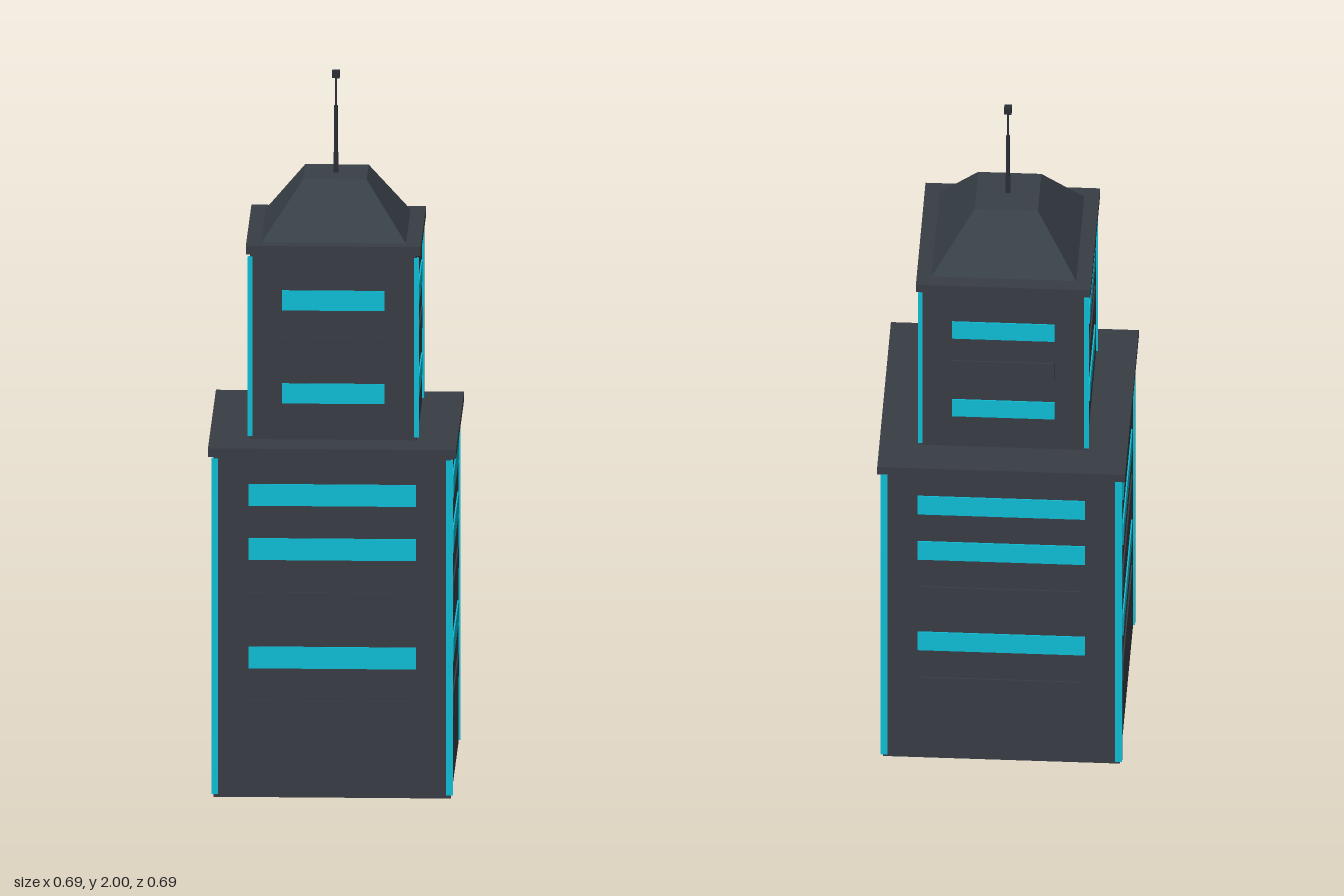
import * as THREE from 'three';

const mat = (name, color) => {
  const m = new THREE.MeshStandardMaterial({ color });
  m.name = name;
  return m;
};

export function createModel() {
  const wall = mat('charcoal wall', 0x383c44);
  const slate = mat('slate roof', 0x384047);
  const glow = mat('cyan light', 0x0fbcd4);
  const metal = mat('dark metal', 0x2a2d34);
  const model = new THREE.Group();
  model.name = 'tower';

  function box(parent, name, material, w, y0, y1, d = w, x = 0, z = 0) {
    const mesh = new THREE.Mesh(new THREE.BoxGeometry(w, y1 - y0, d), material);
    mesh.position.set(x, (y0 + y1) / 2, z);
    mesh.name = name;
    parent.add(mesh);
    return mesh;
  }

  // One storey block: walls, cornice, lit corner strips and window bands on four sides
  function tier({ name, half, y0, y1, top, cornice, strip, bandWidth, bandHeight, bands }) {
    const group = new THREE.Group();
    group.name = name;
    model.add(group);
    box(group, 'walls', wall, half * 2, y0, y1);
    box(group, 'cornice', wall, cornice * 2, y1, top);
    for (const sx of [-1, 1]) for (const sz of [-1, 1]) {
      const c = half - strip / 2 + 0.006;
      box(group, 'cornerLight', glow, strip, y0 + 0.01, y1 - 0.008, strip, sx * c, sz * c);
    }
    for (let i = 0; i < 4; i++) {
      const side = new THREE.Group();
      side.name = 'windowSide';
      side.rotation.y = i * Math.PI / 2;
      group.add(side);
      for (const [y, lit] of bands) {
        box(side, lit ? 'litWindow' : 'darkWindow', lit ? glow : wall,
          bandWidth, y - bandHeight / 2, y + bandHeight / 2, 0.006, 0, half + 0.001);
      }
    }
  }

  tier({
    name: 'lowerTower', half: 0.33, y0: 0, y1: 0.975, top: 1, cornice: 0.345, strip: 0.019,
    bandWidth: 0.466, bandHeight: 0.062,
    bands: [[0.865, true], [0.71, true], [0.555, false], [0.4, true], [0.245, false]],
  });
  tier({
    name: 'upperTower', half: 0.232, y0: 1, y1: 1.53, top: 1.555, cornice: 0.243, strip: 0.013,
    bandWidth: 0.286, bandHeight: 0.057,
    bands: [[1.398, true], [1.265, false], [1.132, true]],
  });

  // Truncated pyramid roof
  const roofGeo = new THREE.CylinderGeometry(0.088 * Math.SQRT2, 0.201 * Math.SQRT2, 0.155, 4, 1).toNonIndexed();
  roofGeo.rotateY(Math.PI / 4);
  roofGeo.computeVertexNormals();
  const roof = new THREE.Mesh(roofGeo, slate);
  roof.position.y = 1.6325;
  roof.name = 'roof';
  model.add(roof);

  // Stepped antenna with a square tip
  const antenna = new THREE.Group();
  antenna.name = 'antenna';
  model.add(antenna);
  box(antenna, 'antennaBase', metal, 0.014, 1.71, 1.765);
  box(antenna, 'antennaMast', metal, 0.01, 1.765, 1.9);
  box(antenna, 'antennaRod', metal, 0.006, 1.9, 1.98);
  box(antenna, 'antennaTip', metal, 0.021, 1.98, 2);

  return model;
}
